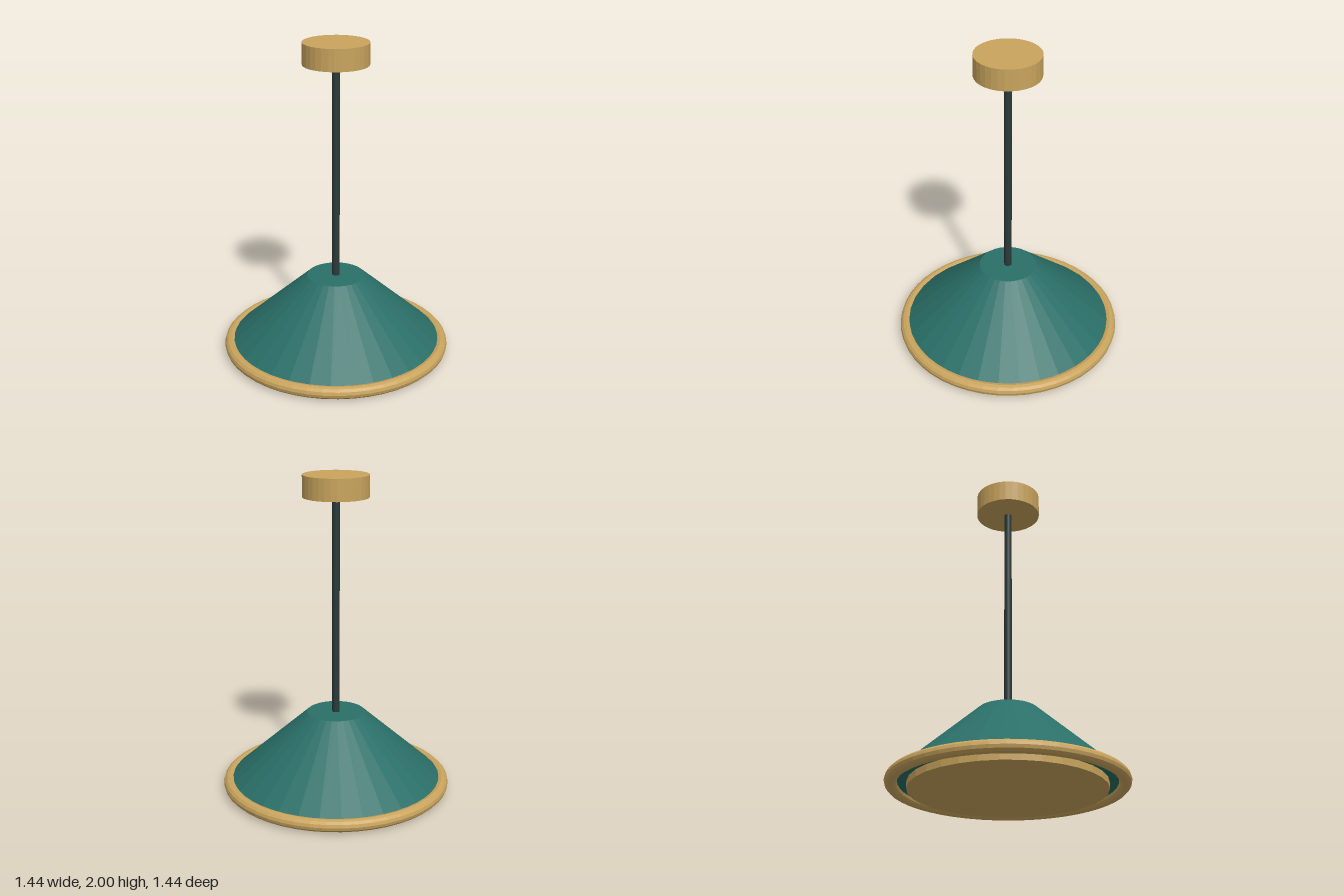
import * as THREE from 'three';

const flat = (name, color) => {
  const m = new THREE.MeshStandardMaterial({ color });
  m.name = name;
  m.flatShading = true;
  return m;
};

export function createModel() {
  const group = new THREE.Group();
  group.name = 'pendantLamp';
  const brass = flat('brass', 0xc9a45d);
  const teal = flat('teal', 0x2a6f68);
  const darkMetal = flat('darkMetal', 0x2b3a3a);

  // Adds a capped round part spanning y0 to y1
  const round = (name, rTop, rBottom, y0, y1, sides, material) => {
    const mesh = new THREE.Mesh(
      new THREE.CylinderGeometry(rTop, rBottom, y1 - y0, sides), material);
    mesh.name = name;
    mesh.position.y = (y0 + y1) / 2;
    group.add(mesh);
  };

  round('ceilingCanopy', 0.203, 0.203, 1.865, 2, 32, brass);
  round('rod', 0.024, 0.024, 0.48, 1.88, 12, darkMetal);
  round('shade', 0.183, 0.698, 0.042, 0.5, 32, teal);
  round('diffuser', 0.59, 0.59, 0, 0.05, 32, brass);

  // Rolled rim around the bottom of the shade
  const rim = new THREE.Mesh(new THREE.TorusGeometry(0.682, 0.0385, 12, 48), brass);
  rim.name = 'rim';
  rim.rotation.x = Math.PI / 2;
  rim.position.y = 0.044;
  group.add(rim);

  return group;
}
